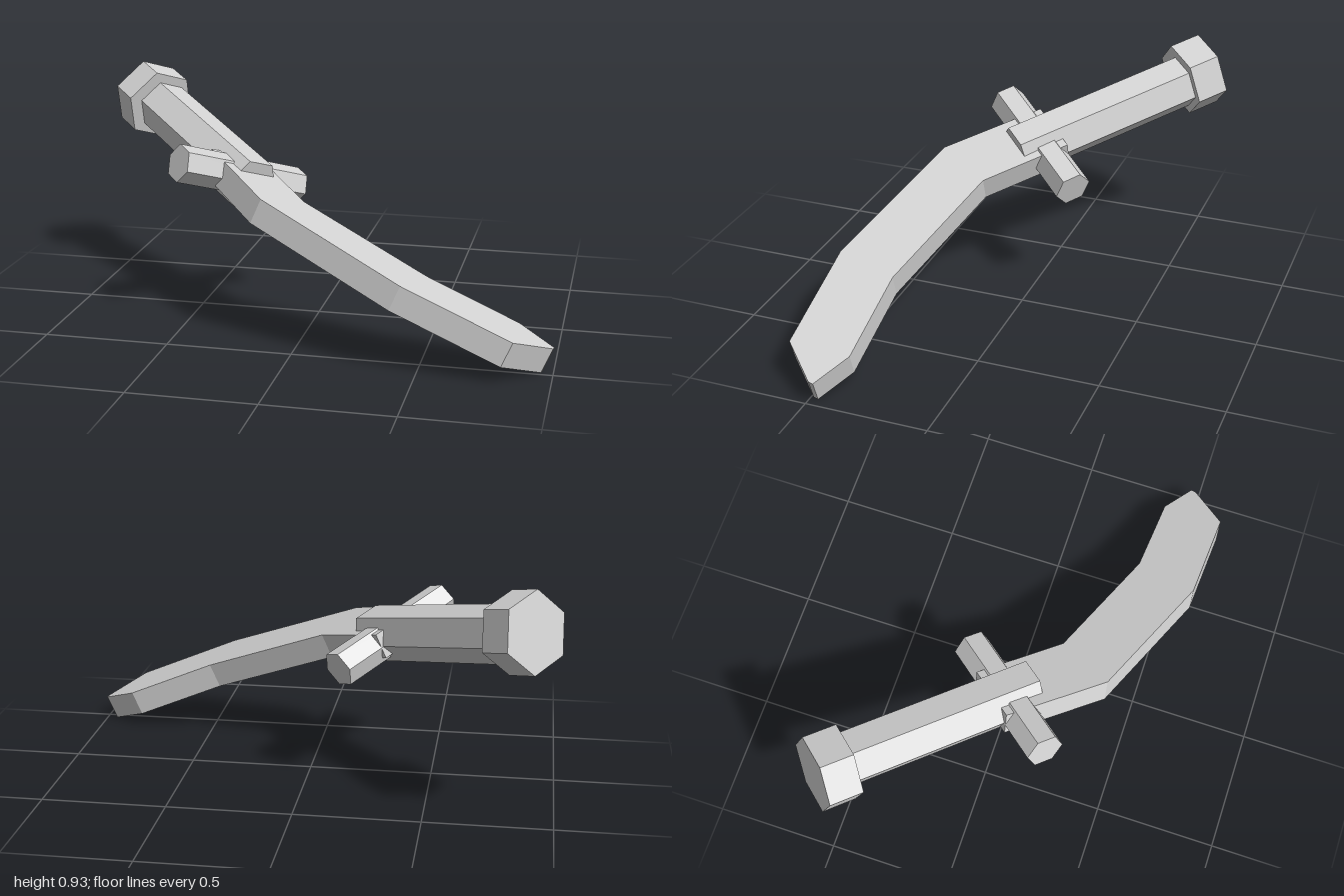
import * as THREE from 'three';

export function createModel() {
  const model = new THREE.Group();
  model.name = 'curvedSword';
  const steel = new THREE.MeshStandardMaterial({ color: 0xd4d4d4, flatShading: true });
  steel.name = 'grey steel';

  // Sword frame: x runs to the blade tip, y is the blade's flat normal, z is across
  const sword = new THREE.Group();
  sword.name = 'sword';
  const flat = new THREE.Vector3(0.394, 0.917, -0.046).normalize();
  const across = new THREE.Vector3(0.674, -0.255, 0.693).cross(flat).normalize();
  const along = new THREE.Vector3().crossVectors(flat, across);
  sword.quaternion.setFromRotationMatrix(new THREE.Matrix4().makeBasis(along, flat, across));
  sword.position.set(-0.325, 0.584, 0.04);
  model.add(sword);

  function add(name, geometry, x, y, z, tilt = 0) {
    const mesh = new THREE.Mesh(geometry, steel);
    mesh.name = name;
    mesh.position.set(x, y, z);
    mesh.rotation.z = tilt;
    sword.add(mesh);
  }
  const hexBar = (radius, length) => new THREE.CylinderGeometry(radius, radius, length, 6);

  // Handle and pommel: hexagonal bars, dipping slightly away from the blade
  const start = -0.75, end = 0.114, dip = 0.026;
  add('handle', hexBar(0.113, end - start).rotateZ(Math.PI / 2), (start + end) / 2, -0.011, 0, dip);
  add('pommel', hexBar(0.158, 0.136).rotateZ(Math.PI / 2), -0.762, -0.022, 0.012, dip);

  // Crossguard: hexagonal bar across the sword
  add('crossguard', hexBar(0.077, 0.6).rotateY(Math.PI / 6).rotateX(Math.PI / 2), 0.006, -0.006, 0);

  // Blade: curved flat outline, given as (along, across)
  const outline = [
    [-0.07, 0.122], [0.375, 0.143], [0.972, -0.14], [1.315, -0.443], [1.322, -0.655],
    [1.311, -0.672], [1.142, -0.63], [0.847, -0.372], [0.319, -0.11], [-0.07, -0.122],
  ];
  const shape = new THREE.Shape(outline.map(([l, w]) => new THREE.Vector2(l, -w)));
  const thickness = 0.105;
  const blade = new THREE.ExtrudeGeometry(shape, { depth: thickness, bevelEnabled: false });
  add('blade', blade.translate(0, 0, -thickness / 2).rotateX(-Math.PI / 2), 0, 0, 0);

  return model;
}
